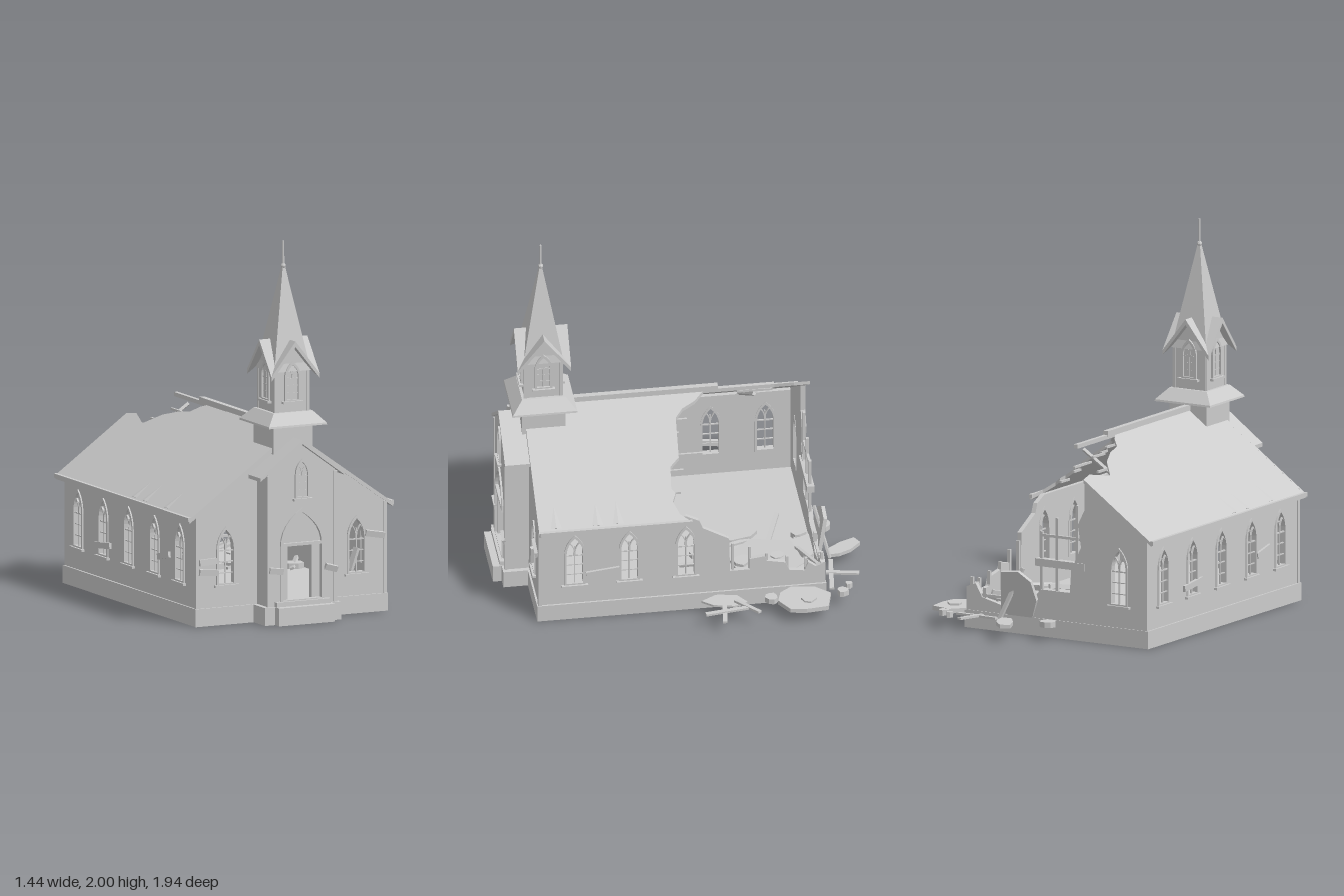
import * as THREE from 'three';

const CX = -0.115, SLOPE = 0.71, RIDGE = 1.0;
const mat = new THREE.MeshStandardMaterial({ color: 0xcccccc, flatShading: true, side: THREE.DoubleSide });

function add(parent, name, geo, x = 0, y = 0, z = 0) {
  const m = new THREE.Mesh(geo, mat);
  m.name = name;
  m.position.set(x, y, z);
  parent.add(m);
  return m;
}
const box = (p, name, w, h, d, x, y, z) => add(p, name, new THREE.BoxGeometry(w, h, d), x, y, z);
const poly = pts => new THREE.Shape(pts.map(p => new THREE.Vector2(p[0], p[1])));
const extrude = (shape, depth) => new THREE.ExtrudeGeometry(shape, { depth, bevelEnabled: false, curveSegments: 6 });

// Beam of square section between two points
function beam(p, name, a, b, t = 0.016) {
  const A = new THREE.Vector3(...a), B = new THREE.Vector3(...b);
  const m = box(p, name, t, t, A.distanceTo(B), 0, 0, 0);
  m.position.copy(A).add(B).multiplyScalar(0.5);
  m.quaternion.setFromUnitVectors(new THREE.Vector3(0, 0, 1), B.sub(A).normalize());
  return m;
}

// Pointed arch outline, half width w, from y0 up to apex, centred on x
function arch(w, y0, spring, apex, x = 0, Type = THREE.Shape) {
  const s = new Type(), c = spring + (apex - spring) * 0.6;
  s.moveTo(x - w, y0);
  s.lineTo(x + w, y0);
  s.lineTo(x + w, spring);
  s.quadraticCurveTo(x + w, c, x, apex);
  s.quadraticCurveTo(x - w, c, x - w, spring);
  s.lineTo(x - w, y0);
  return s;
}
function archRing(w, t, y0, spring, apex, depth, x = 0) {
  const s = arch(w, y0, spring, apex, x);
  s.holes.push(arch(w - t, y0 + t, spring, apex - t * 1.5, x, THREE.Path));
  return extrude(s, depth);
}

// Traceried window, bottom at y = 0, facing +z
function windowFrame(p, x, y, z, rotY = 0, w = 0.05, h = 0.3) {
  const g = new THREE.Group();
  g.name = 'window';
  g.position.set(x, y, z);
  g.rotation.y = rotY;
  const sp = h * 0.62;
  add(g, 'surround', archRing(w + 0.006, 0.012, -0.006, sp, h + 0.008, 0.036), 0, 0, -0.028);
  box(g, 'mullion', 0.006, h * 0.8, 0.01, 0, h * 0.4, -0.005);
  for (const f of [0.2, 0.4, 0.6]) box(g, 'glazingBar', w * 2, 0.005, 0.008, 0, h * f, -0.005);
  for (const s of [-1, 1]) add(g, 'tracery', archRing(w / 2, 0.005, sp - 0.01, sp + 0.01, h * 0.86, 0.01, s * w / 2), 0, 0, -0.009);
  box(g, 'sill', w * 2 + 0.04, 0.012, 0.03, 0, -0.008, 0.004);
  p.add(g);
}

// Wall from an outline with window holes; side walls run along z
function wall(p, name, pts, holes, side, at) {
  const s = poly(side ? pts.map(q => [-q[0], q[1]]) : pts);
  for (const c of holes) s.holes.push(arch(0.05, 0.215, 0.4, 0.515, side ? -c : c, THREE.Path));
  const g = extrude(s, 0.025);
  if (side) g.rotateY(Math.PI / 2);
  return add(p, name, g, side ? at : 0, 0, side ? 0 : at);
}

// Roof slope from a plan outline [x, z], sheared to the pitch
function roof(p, name, pts, ridge = RIDGE, slope = SLOPE, t = 0.02) {
  const g = extrude(poly(pts.map(q => [q[0], -q[1]])), t).rotateX(-Math.PI / 2), a = g.attributes.position;
  for (let i = 0; i < a.count; i++) a.setY(i, a.getY(i) + ridge - t - Math.abs(a.getX(i)) * slope);
  g.computeVertexNormals();
  return add(p, name, g);
}

function rng(seed) {
  return () => (seed = (seed * 16807) % 2147483647) / 2147483647;
}
// Irregular flat piece of masonry or roofing
function slab(p, name, x, y, z, rx, rz, t, seed, tilt = 0, turn = 0) {
  const r = rng(seed * 7919 + 13), n = 6 + (seed % 3), pts = [];
  r();
  for (let i = 0; i < n; i++) {
    const a = (i + r() * 0.5) / n * Math.PI * 2, k = 0.8 + r() * 0.3;
    pts.push([Math.cos(a) * rx * k, Math.sin(a) * rz * k]);
  }
  const m = add(p, name, extrude(poly(pts), t).rotateX(-Math.PI / 2), x, y, z);
  m.rotation.set(tilt, turn, 0);
  return m;
}

// One arm of the crossed belfry roof, mitred along the valleys
function belfryGable() {
  const g = extrude(poly([[0, 1.485], [-0.142, 1.305], [-0.142, 1.28], [0, 1.455], [0.142, 1.28], [0.142, 1.305]]), 0.142);
  const a = g.attributes.position;
  for (let i = 0; i < a.count; i++) if (a.getZ(i) < 0.01) a.setZ(i, Math.abs(a.getX(i)));
  g.computeVertexNormals();
  return g;
}

function buildTower(church) {
  const t = new THREE.Group();
  t.name = 'tower';
  t.position.z = 0.69;
  church.add(t);
  const frustum = (name, top, bottom, y0, y1) => add(t, name,
    new THREE.CylinderGeometry(top * Math.SQRT2, bottom * Math.SQRT2, y1 - y0, 4).rotateY(Math.PI / 4), 0, (y0 + y1) / 2);
  box(t, 'towerBase', 0.23, 0.34, 0.23, 0, 0.87, 0);
  frustum('skirtEdge', 0.17, 0.172, 1.035, 1.045);
  frustum('skirt', 0.115, 0.17, 1.045, 1.105);
  for (let i = 0; i < 4; i++) {
    const side = new THREE.Group();
    side.name = 'belfrySide';
    side.rotation.y = i * Math.PI / 2;
    t.add(side);
    add(side, 'belfryWall', extrude(poly([[-0.1, 1.09], [0.1, 1.09], [0.1, 1.335], [0, 1.457], [-0.1, 1.335]]), 0.02), 0, 0, 0.08);
    windowFrame(side, 0, 1.165, 0.103, 0, 0.04, 0.2);
    add(side, 'belfryGable', belfryGable());
    for (const s of [-1, 1]) box(side, 'cornerBoard', 0.014, 0.23, 0.008, s * 0.094, 1.21, 0.1);
  }
  frustum('spire', 0.008, 0.108, 1.32, 1.86);
  add(t, 'finialBall', new THREE.SphereGeometry(0.014, 8, 6), 0, 1.868);
  add(t, 'finial', new THREE.CylinderGeometry(0.005, 0.006, 0.14, 6), 0, 1.93);
}

function buildPorch(church) {
  const g = new THREE.Group();
  g.name = 'porch';
  church.add(g);
  box(g, 'porchBase', 0.45, 0.095, 0.14, 0, 0.0475, 0.85);
  box(g, 'step', 0.33, 0.095, 0.07, 0, 0.0475, 0.932);
  box(g, 'threshold', 0.32, 0.12, 0.05, 0, 0.06, 0.905);
  const s = poly([[-0.2, 0.09], [0.2, 0.09], [0.2, 0.8], [0, 0.945], [-0.2, 0.8]]);
  s.holes.push(arch(0.115, 0.12, 0.41, 0.59, 0, THREE.Path));
  add(g, 'porchFront', extrude(s, 0.02), 0, 0, 0.885);
  add(g, 'doorSurround', archRing(0.13, 0.016, 0.11, 0.41, 0.612, 0.03), 0, 0, 0.885);
  add(g, 'tympanum', extrude(arch(0.115, 0.42, 0.425, 0.59), 0.012), 0, 0, 0.885);
  box(g, 'transom', 0.24, 0.016, 0.03, 0, 0.42, 0.9);
  box(g, 'openDoor', 0.015, 0.3, 0.11, -0.085, 0.27, 0.835);
  box(g, 'doorPost', 0.022, 0.3, 0.02, -0.105, 0.27, 0.895);
  for (const x of [-1, 1]) {
    box(g, 'porchSide', 0.02, 0.71, 0.12, x * 0.19, 0.445, 0.835);
    box(g, 'cornerBoard', 0.018, 0.7, 0.012, x * 0.197, 0.445, 0.905);
    roof(g, 'porchRoof', [[0, 0.765], [x * 0.25, 0.765], [x * 0.25, 0.915], [0, 0.915]], 0.97, 0.73);
  }
  windowFrame(g, 0, 0.665, 0.908, 0, 0.036, 0.2);
}

function buildNave(church) {
  const rim = poly([[-0.567, -0.79], [0.567, -0.79], [0.567, 0.745], [-0.567, 0.745]]);
  rim.holes.push(poly([[-0.54, -0.763], [0.54, -0.763], [0.54, 0.718], [-0.54, 0.718]]));
  add(church, 'foundation', extrude(rim, 0.095).rotateX(-Math.PI / 2));
  box(church, 'floor', 1.1, 0.03, 1.5, 0, 0.08, 0.0225);

  // Front, back and side walls, with broken edges at the rear
  const wz = [0.59, 0.3, 0, -0.29, -0.58];
  wall(church, 'frontWall', [[-0.555, 0.09], [-0.12, 0.09], [-0.12, 0.58], [0.12, 0.58], [0.12, 0.09], [0.555, 0.09],
    [0.555, 0.585], [0, 0.975], [-0.555, 0.585]], [-0.385, 0.385], false, 0.755);
  wall(church, 'backWall', [[-0.555, 0.09], [0.555, 0.09], [0.555, 0.22], [0.5, 0.24], [0.46, 0.17], [0.34, 0.14], [0.26, 0.2],
    [0.14, 0.2], [0.1, 0.25], [-0.08, 0.25], [-0.09, 0.38], [-0.15, 0.5], [-0.13, 0.62], [-0.17, 0.7], [-0.17, 0.855], [-0.555, 0.585]], [-0.385], false, -0.74);
  wall(church, 'wholeSideWall', [[0.78, 0.09], [0.78, 0.585], [-0.74, 0.585], [-0.74, 0.09]], wz, true, -0.557);
  wall(church, 'brokenSideWall', [[0.78, 0.09], [0.78, 0.585], [0, 0.585], [-0.07, 0.55], [-0.09, 0.5], [-0.23, 0.42], [-0.235, 0.215],
    [-0.34, 0.215], [-0.34, 0.28], [-0.42, 0.29], [-0.43, 0.26], [-0.53, 0.24], [-0.55, 0.19], [-0.63, 0.18], [-0.65, 0.23],
    [-0.69, 0.2], [-0.74, 0.22], [-0.74, 0.09]], wz.slice(0, 3), true, 0.532);
  for (const s of [-1, 1]) {
    windowFrame(church, s * 0.385, 0.215, 0.78);
    box(church, 'cornerBoard', 0.02, 0.49, 0.02, s * 0.553, 0.34, 0.774);
    for (const z of s < 0 ? wz : wz.slice(0, 3)) windowFrame(church, s * 0.557, 0.215, z, s * Math.PI / 2);
  }
  windowFrame(church, -0.385, 0.215, -0.74, Math.PI);

  // Roof, one slope whole and the other torn open
  roof(church, 'wholeRoof', [[0, 0.78], [-0.6, 0.78], [-0.6, -0.765], [-0.18, -0.765], [-0.165, -0.68], [-0.2, -0.55], [-0.2, -0.53],
    [-0.13, -0.45], [-0.09, -0.35], [-0.07, -0.25], [-0.03, -0.21], [0, -0.15]]);
  roof(church, 'tornRoof', [[0, 0.78], [0.6, 0.78], [0.6, -0.03], [0.56, 0.03], [0.5, 0.06], [0.46, 0.04], [0.44, 0.06], [0.34, 0.05],
    [0.3, 0], [0.12, -0.01], [0.08, -0.05], [0.05, -0.12], [0, -0.18]]);
  box(church, 'eaveBoard', 0.018, 0.022, 1.545, -0.6, 0.573, 0.0075);
  box(church, 'eaveBoard', 0.018, 0.022, 0.81, 0.6, 0.573, 0.375);
  add(church, 'rakeBoard', extrude(poly([[0, 1.0], [-0.605, 0.571], [-0.6, 0.553], [0, 0.974], [0.6, 0.553], [0.605, 0.571]]), 0.012), 0, 0, 0.772);
  box(church, 'ridgeCap', 0.03, 0.03, 0.83, 0, 1.01, 0.165);
  box(church, 'ridgeBeam', 0.022, 0.022, 0.6, 0, 0.993, -0.25);
  for (const [s, z] of [[-1, 0.1], [-1, 0.22], [-1, 0.47], [1, 0.36], [1, 0.47], [1, 0.69]]) {
    const m = add(church, 'roofBuckle', new THREE.ConeGeometry(0.07, 0.3, 4), s * 0.455, 0.672, z);
    m.scale.x = 0.1;
    m.rotation.z = s * (Math.PI / 2 - Math.atan(SLOPE));
  }

  // Exposed timbers
  const on = (d, z) => [d, RIDGE - 0.028 - Math.abs(d) * SLOPE, z];
  for (const z of [-0.13, -0.44]) beam(church, 'rafter', on(-0.57, z), on(z < -0.3 ? 0.02 : 0, z));
  for (const [d, a, b] of [[0.11, 0.04, -0.07], [0.17, 0.04, -0.02], [0.27, 0.04, -0.13], [0.34, 0.05, -0.02], [0.44, 0.1, 0.01],
    [-0.06, -0.36, -0.48], [-0.14, -0.4, -0.56]]) beam(church, 'batten', on(d, a), on(d, b), 0.012);
  for (const [x, h] of [[-0.12, 0.72], [0.005, 0.64], [0.1, 0.56], [0.3, 0.24], [0.45, 0.22], [0.53, 0.27]])
    box(church, 'stud', 0.016, h - 0.09, 0.016, x, (h + 0.09) / 2, -0.725);
  for (const [x0, x1, y, t] of [[-0.17, 0.13, 0.395, 0.04], [-0.15, 0.1, 0.54, 0.014], [0.28, 0.54, 0.18, 0.014]])
    beam(church, 'rail', [x0, y, -0.725], [x1, y, -0.725], t);
  for (const [z, h] of [[-0.25, 0.38], [-0.34, 0.35], [-0.43, 0.3], [-0.54, 0.27], [-0.64, 0.25]])
    box(church, 'stud', 0.018, h - 0.09, 0.014, 0.54, (h + 0.09) / 2, z);
}

function buildDebris(root) {
  const g = new THREE.Group();
  g.name = 'debris';
  root.add(g);
  // Fallen slabs: x, y, z, half sizes, thickness, tilt, turn
  [[0.57, 0.065, -0.61, 0.12, 0.15, 0.025, 0, 0], [0.51, 0.065, -0.2, 0.06, 0.12, 0.012, 0, 0], [0.12, 0.07, -0.88, 0.05, 0.11, 0.02, 0, 0.6],
    [0.12, 0.21, -0.765, 0.12, 0.15, 0.02, 1.4, 0], [0.22, 0.1, -0.45, 0.19, 0.21, 0.02, 0.05, 0], [0.1, 0.095, -0.68, 0.14, 0.06, 0.02, 0, 0],
    [-0.05, 0.1, -0.34, 0.07, 0.12, 0.02, 0, 0.4], [0.33, 0.1, -0.66, 0.1, 0.06, 0.025, 0, 0.3]]
    .forEach(([x, y, z, rx, rz, t, tilt, turn], i) => slab(g, 'fallenSlab', x, y, z, rx, rz, t, i + 2, tilt, turn));
  // Loose stones: x, z, radius
  [[-0.1, -0.8, 0.045], [0.47, -0.86, 0.02], [0.53, -0.82, 0.032], [0.54, -0.44, 0.035], [0.58, -0.63, 0.045], [0, -0.66, 0.045], [0.2, -0.52, 0.035],
    [0.27, -0.48, 0.035], [0.22, -0.33, 0.05], [0.35, -0.44, 0.035], [0.27, -0.2, 0.03], [0.35, -0.1, 0.055], [0.11, -0.09, 0.03], [-0.03, -0.25, 0.04]]
    .forEach(([x, z, r], i) => slab(g, 'stone', x, x > 0.45 || z < -0.76 ? 0.07 : 0.1, z, r, r, 0.03, i + 11));
  // Loose planks, as pairs of end points
  [[[0.22, 0.08, -0.8], [0.48, 0.075, -0.77]], [[0.37, 0.085, -0.93], [0.33, 0.08, -0.76]], [[0.56, 0.08, -0.19], [0.71, 0.075, -0.17]],
    [[0.61, 0.09, -0.32], [0.63, 0.08, -0.08]], [[0.53, 0.085, -0.25], [0.67, 0.095, -0.36]], [[-0.16, 0.14, -0.57], [0.09, 0.11, -0.48]],
    [[0.15, 0.13, -0.63], [0.4, 0.18, -0.71]], [[0, 0.11, -0.19], [0.19, 0.13, -0.24]], [[0.2, 0.11, 0], [0.25, 0.15, -0.22]],
    [[0.3, 0.11, -0.02], [0.42, 0.14, -0.2]], [[0.36, 0.11, -0.35], [0.4, 0.16, -0.55]], [[0, 0.1, -0.4], [0.12, 0.13, -0.15]],
    [[0.2, 0.08, -0.8], [0.1, 0.35, -0.73]]]
    .forEach(([a, b]) => beam(g, 'plank', a, b, 0.024).scale.y = 0.5);
  // Boards hanging on the walls
  [[[-0.66, 0.29, 0.79], [-0.55, 0.28, 0.79]], [[-0.66, 0.34, 0.79], [-0.56, 0.345, 0.79]], [[0.32, 0.425, 0.79], [0.43, 0.405, 0.79]],
    [[0.23, 0.23, 0.785], [0.27, 0.35, 0.785]], [[-0.31, 0.29, 0.912], [-0.23, 0.28, 0.912]], [[0.02, 0.29, 0.912], [0.09, 0.27, 0.912]],
    [[0.447, 0.27, 0.53], [0.447, 0.29, 0.35]], [[-0.677, 0.28, -0.2], [-0.677, 0.26, -0.38]], [[-0.677, 0.34, 0.48], [-0.677, 0.31, 0.35]]]
    .forEach(([a, b]) => beam(g, 'looseBoard', a, b, 0.018).scale.y = 1.8);
}

export function createModel() {
  const root = new THREE.Group();
  root.name = 'ruinedChurch';
  const church = new THREE.Group();
  church.name = 'church';
  church.position.x = CX;
  root.add(church);
  buildNave(church);
  buildPorch(church);
  buildTower(church);
  buildDebris(root);
  return root;
}
